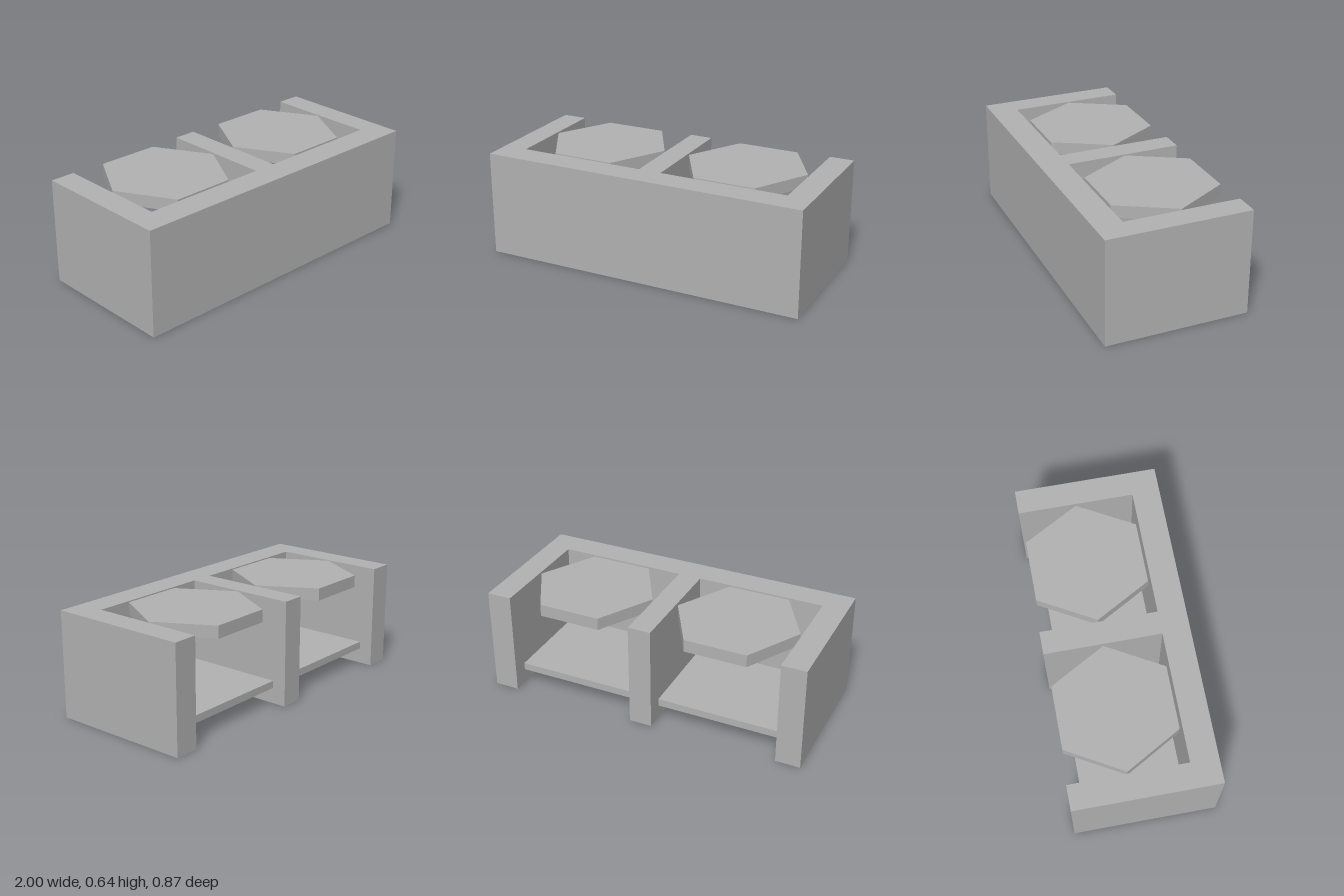
import * as THREE from 'three';

const HEIGHT = 0.645;

// Extrudes a plan outline of [x, z] points upward from y = bottom
function slab(name, points, bottom, thickness, material) {
  const shape = new THREE.Shape(points.map(([x, z]) => new THREE.Vector2(x, -z)));
  const geometry = new THREE.ExtrudeGeometry(shape, { depth: thickness, bevelEnabled: false });
  geometry.rotateX(-Math.PI / 2);
  const mesh = new THREE.Mesh(geometry, material);
  mesh.name = name;
  mesh.position.y = bottom;
  return mesh;
}

export function createModel() {
  const grey = new THREE.MeshStandardMaterial({ color: 0xb2b2b2 });
  grey.name = 'grey';
  const group = new THREE.Group();
  group.name = 'twoBayUnit';

  // E-shaped frame: long front wall with three walls running back
  const back = -0.433, front = 0.433, inner = 0.267;
  group.add(slab('frame', [
    [-1, front], [1, front], [1, back], [0.85, back], [0.85, inner],
    [0.07, inner], [0.07, back], [-0.07, back], [-0.07, inner],
    [-0.85, inner], [-0.85, back], [-1, back],
  ], 0, HEIGHT, grey));

  for (const side of [-1, 1]) {
    const bay = new THREE.Group();
    bay.name = side < 0 ? 'rightBay' : 'leftBay';
    bay.position.x = side * 0.46;

    // Low shelf
    const shelf = new THREE.Mesh(new THREE.BoxGeometry(0.758, 0.045, 0.608), grey);
    shelf.name = 'shelf';
    shelf.position.set(0, 0.124, -0.05);
    bay.add(shelf);

    // Hexagonal seat, flush with the top of the frame
    const z = -0.085, w = 0.378, d = 0.335;
    bay.add(slab('hexagonSeat', [
      [-w, z], [-w / 2, z + d], [w / 2, z + d],
      [w, z], [w / 2, z - d], [-w / 2, z - d],
    ], HEIGHT - 0.075, 0.075, grey));
    group.add(bay);
  }
  return group;
}
